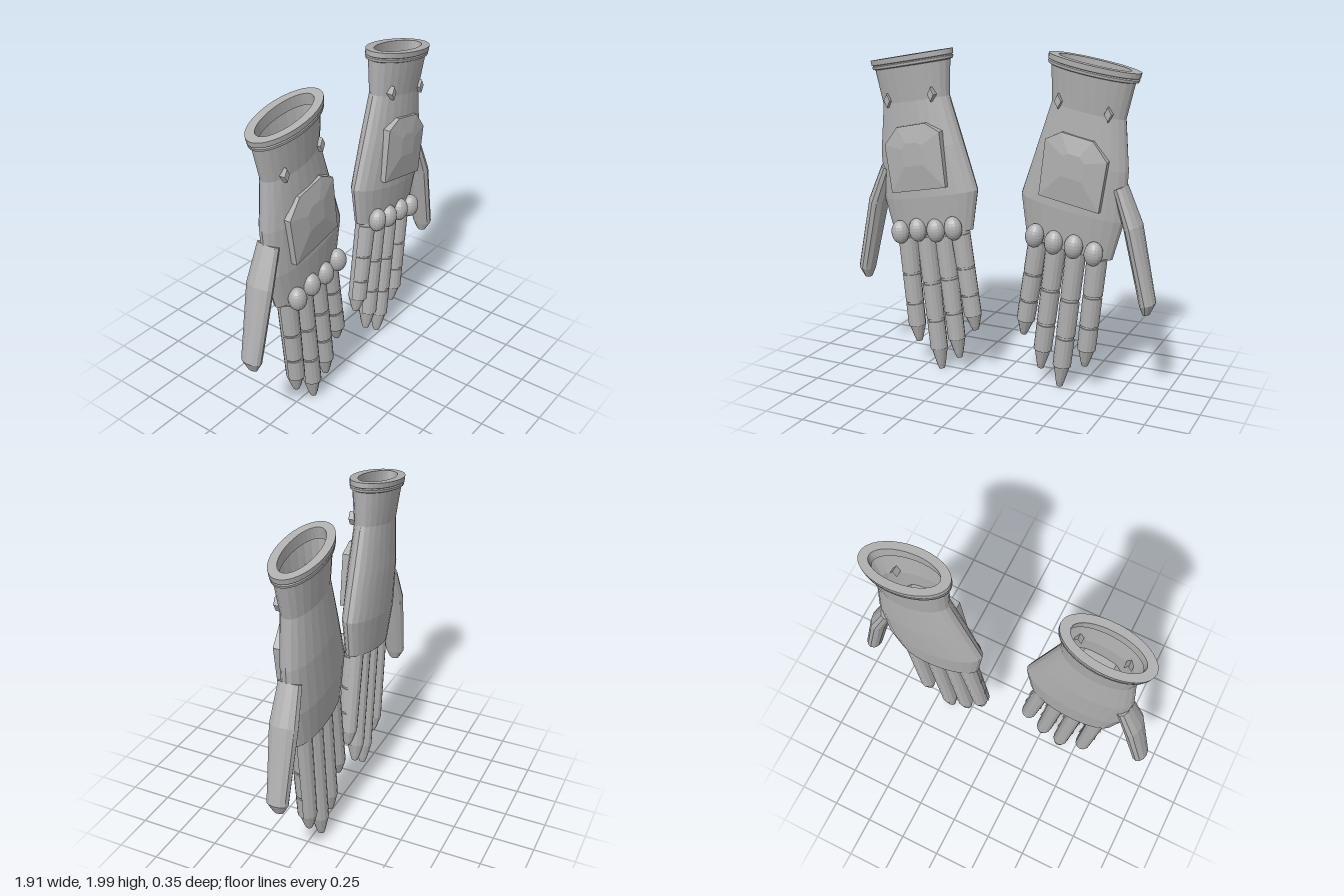
import * as THREE from 'three';

const grey = new THREE.MeshStandardMaterial({ color: 0xb0b0b0 });
grey.name = 'grey';
const greyOpen = grey.clone(); // same grey for the open shell
greyOpen.side = THREE.DoubleSide;

const TILT = 0.18; // lean of the hand's cross-sections

// Elliptical section: centre, half-width vector in x/y, half-depth in z
const section = (x, y, hw, hd, tilt = TILT, z = 0) =>
  ({ x, y, z, ux: Math.cos(tilt) * hw, uy: -Math.sin(tilt) * hw, hd });

// Skin running through sections; arc below a full turn makes a front half shell
function loft(secs, n, { capStart = false, capEnd = false, arc = Math.PI * 2 } = {}) {
  const point = (s, j) => {
    const a = (j / n) * arc, c = Math.cos(a);
    return [s.x + s.ux * c, s.y + s.uy * c, s.z + s.hd * Math.sin(a)];
  };
  const pos = [];
  const tri = (...p) => p.forEach((q) => pos.push(...q));
  for (let j = 0; j < n; j++) {
    for (let i = 0; i < secs.length - 1; i++) {
      const a = point(secs[i], j), b = point(secs[i], j + 1);
      const c = point(secs[i + 1], j), d = point(secs[i + 1], j + 1);
      tri(a, b, c);
      tri(b, d, c);
    }
    const s = secs[0], e = secs[secs.length - 1];
    if (capStart) tri([s.x, s.y, s.z], point(s, j + 1), point(s, j));
    if (capEnd) tri([e.x, e.y, e.z], point(e, j), point(e, j + 1));
  }
  return fromTriangles(pos);
}

function fromTriangles(pos) {
  const g = new THREE.BufferGeometry();
  g.setAttribute('position', new THREE.Float32BufferAttribute(pos, 3));
  return g;
}

// Raised plate: upright rim and facets climbing to a smaller inner outline
function raisedPlate(outline, z0, z1, z2, inner) {
  const n = outline.length, pos = [];
  const cx = outline.reduce((t, p) => t + p[0], 0) / n;
  const cy = outline.reduce((t, p) => t + p[1], 0) / n;
  const ring = (k, z) => outline.map(([x, y]) => [cx + (x - cx) * k, cy + (y - cy) * k, z]);
  const loops = [ring(1, z0), ring(1, z1), ring(inner, z2)];
  for (let j = 0; j < n; j++) {
    const k = (j + 1) % n;
    for (let i = 0; i < 2; i++) {
      const [a, b, c, d] = [loops[i][j], loops[i][k], loops[i + 1][j], loops[i + 1][k]];
      pos.push(...a, ...b, ...c, ...b, ...d, ...c);
    }
    pos.push(cx, cy, z2, ...loops[2][j], ...loops[2][k]);
  }
  return fromTriangles(pos);
}

// Swap two corners of every triangle and negate x
function mirrorX(g) {
  const p = g.attributes.position;
  for (let i = 0; i < p.count; i += 3) {
    const b = [p.getX(i + 1), p.getY(i + 1), p.getZ(i + 1)];
    p.setXYZ(i + 1, p.getX(i + 2), p.getY(i + 2), p.getZ(i + 2));
    p.setXYZ(i + 2, ...b);
  }
  for (let i = 0; i < p.count; i++) p.setX(i, -p.getX(i));
}

function createGlove(side) {
  const glove = new THREE.Group();
  const add = (name, geometry, material = grey) => {
    let g = geometry.index ? geometry.toNonIndexed() : geometry;
    if (side < 0) mirrorX(g);
    g.computeVertexNormals();
    const mesh = new THREE.Mesh(g, material);
    mesh.name = name;
    glove.add(mesh);
  };

  // Hollow hand and wrist
  add('hand', loft([
    section(0.552, 1.91, 0.25, 0.122),
    section(0.528, 1.685, 0.222, 0.098),
    section(0.495, 1.405, 0.28, 0.109),
    section(0.44, 1.12, 0.318, 0.105),
    section(0.425, 0.885, 0.27, 0.082),
  ], 24, { capEnd: true }), greyOpen);

  // Cuff: inner wall, flat rim, groove and lower bead
  add('cuff', loft([
    section(0.545, 1.88, 0.213, 0.09),
    section(0.557, 1.948, 0.213, 0.09),
    section(0.557, 1.948, 0.271, 0.137),
    section(0.552, 1.918, 0.269, 0.135),
    section(0.551, 1.914, 0.258, 0.127),
    section(0.55, 1.909, 0.268, 0.134),
    section(0.548, 1.894, 0.264, 0.132),
    section(0.547, 1.888, 0.245, 0.118),
  ], 36));

  // Back-of-hand plate
  add('backPlate', raisedPlate([
    [0.28, 1.2], [0.64, 1.13], [0.683, 1.42], [0.6, 1.53], [0.413, 1.57], [0.317, 1.525],
  ], 0.06, 0.118, 0.138, 0.35));

  // Wrist diamonds
  for (const [x, y] of [[0.38, 1.735], [0.672, 1.68]]) {
    add('wristDiamond', raisedPlate([
      [x, y - 0.043], [x + 0.023, y], [x, y + 0.043], [x - 0.023, y],
    ], 0.04, 0.095, 0.1, 0.9));
  }

  // Fingers: base x, y and tip x, y, then knuckle x, y
  const fingers = [
    ['littleFinger', 0.238, 0.9, 0.145, 0.3, 0.247, 0.95],
    ['ringFinger', 0.35, 0.88, 0.258, 0.1, 0.365, 0.923],
    ['middleFinger', 0.473, 0.86, 0.383, 0.005, 0.487, 0.913],
    ['indexFinger', 0.602, 0.84, 0.54, 0.163, 0.608, 0.885],
  ];
  for (const [name, x0, y0, x1, y1, kx, ky] of fingers) {
    const tilt = Math.atan2(x0 - x1, y0 - y1);
    const at = (t, hw, hd) =>
      section(x0 + (x1 - x0) * t, y0 + (y1 - y0) * t, hw, hd, tilt, 0.003);
    add(name, loft([
      at(-0.08, 0.054, 0.06), at(0.84, 0.049, 0.056), at(0.96, 0.027, 0.032), at(1, 0.018, 0.02),
    ], 12, { capStart: true, capEnd: true }));
    // Front plates over the three joints
    for (const [a, b] of [[0, 0.33], [0.35, 0.61], [0.63, 0.84]]) {
      add(name + 'Plate', loft([
        at(a, 0.061 - a * 0.006, 0.068 - a * 0.006),
        at(b, 0.061 - b * 0.006, 0.068 - b * 0.006),
      ], 8, { capStart: true, capEnd: true, arc: Math.PI }));
    }
    // Knuckle
    const ball = new THREE.SphereGeometry(1, 16, 12);
    ball.scale(0.055, 0.072, 0.052).rotateZ(-tilt).translate(kx, ky, 0.09);
    add('knuckle', ball);
  }

  // Thumb
  add('thumb', loft([
    section(0.725, 1.265, 0.042, 0.07, -0.42),
    section(0.808, 1.045, 0.053, 0.086, -0.33),
    section(0.908, 0.602, 0.047, 0.064, -0.22),
    section(0.902, 0.54, 0.02, 0.03, -0.15),
  ], 12, { capStart: true, capEnd: true }));

  return glove;
}

export function createModel() {
  const model = new THREE.Group();
  model.name = 'gloves';
  for (const [side, name] of [[1, 'leftGlove'], [-1, 'rightGlove']]) {
    const glove = createGlove(side);
    glove.name = name;
    glove.position.z = -0.034 * side;
    model.add(glove);
  }
  return model;
}
